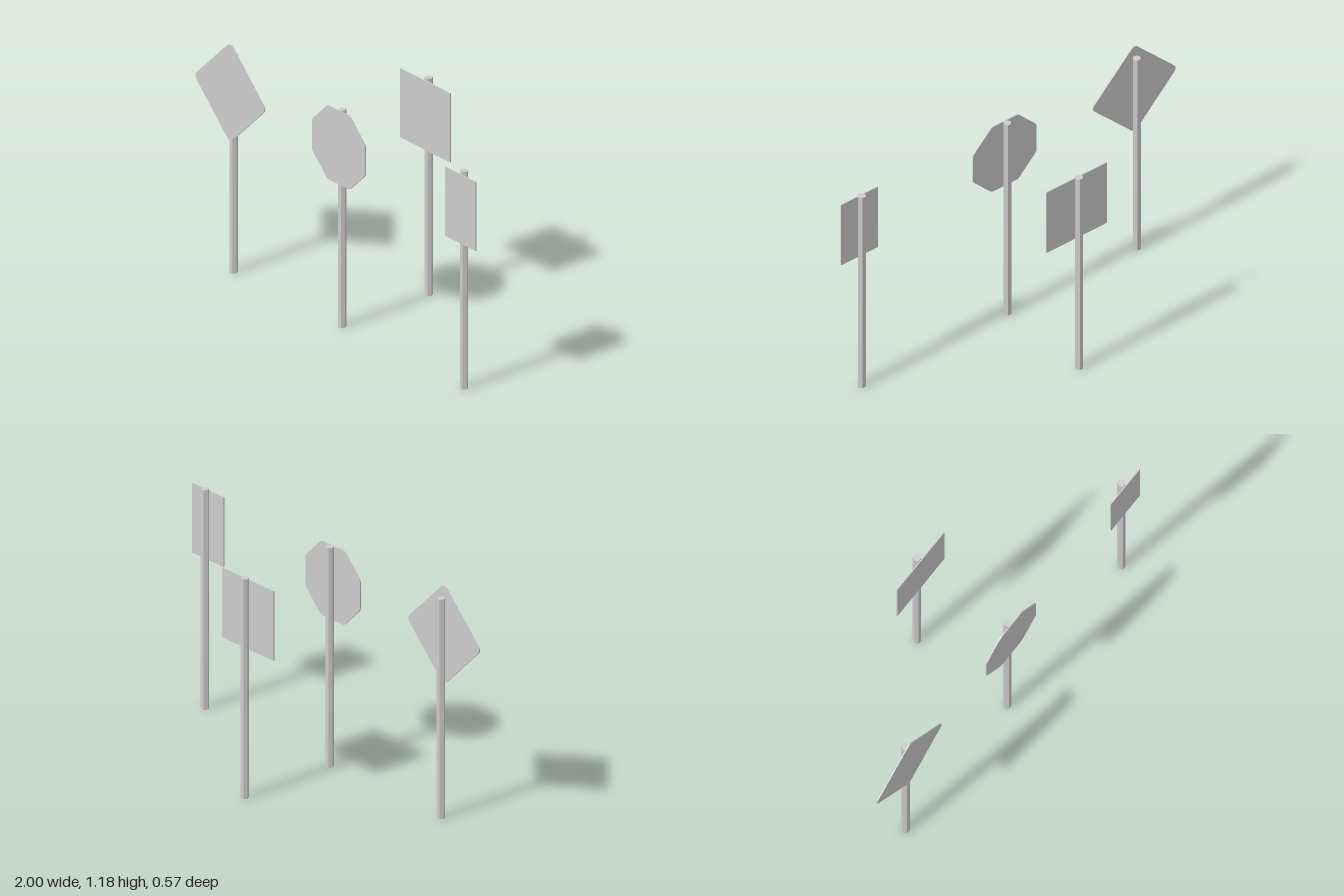
import * as THREE from 'three';

const POLE_R = 0.02, POLE_H = 1.12, PLATE_T = 0.006, SIGN_Y = 0.93;

// Regular polygon outline; phase is the angle of the first corner
function polygon(sides, radius, phase) {
  return Array.from({ length: sides }, (_, i) => {
    const a = phase + (i / sides) * Math.PI * 2;
    return new THREE.Vector2(radius * Math.cos(a), radius * Math.sin(a));
  });
}

// Rectangle outline, counter-clockwise
function rectangle(w, h) {
  return [[-1, -1], [1, -1], [1, 1], [-1, 1]].map(([x, y]) => new THREE.Vector2(x * w / 2, y * h / 2));
}

// Closed shape whose corners are rounded over a length cut along each edge
function roundedShape(points, cut) {
  const shape = new THREE.Shape();
  points.forEach((p, i) => {
    const prev = points[(i + points.length - 1) % points.length];
    const next = points[(i + 1) % points.length];
    const a = p.clone().add(prev.clone().sub(p).setLength(cut));
    const b = p.clone().add(next.clone().sub(p).setLength(cut));
    if (i === 0) shape.moveTo(a.x, a.y);
    else shape.lineTo(a.x, a.y);
    shape.quadraticCurveTo(p.x, p.y, b.x, b.y);
  });
  shape.closePath();
  return shape;
}

export function createModel() {
  const model = new THREE.Group();
  const material = new THREE.MeshStandardMaterial({ color: 0xcccccc, flatShading: true });

  // Six-sided pole shared by all signs, corners pointing along x
  const poleGeometry = new THREE.CylinderGeometry(POLE_R, POLE_R, POLE_H, 6, 1, false, Math.PI / 2);
  poleGeometry.translate(0, POLE_H / 2, 0);

  const signs = [
    { name: 'diamondSign', x: -0.755, z: 0.262, outline: polygon(4, 0.257, 0), cut: 0.03 },
    { name: 'octagonSign', x: 0.02, z: 0.262, outline: polygon(8, 0.19 / Math.cos(Math.PI / 8), Math.PI / 8), cut: 0.013 },
    { name: 'tallSign', x: 0.89, z: 0.262, outline: rectangle(0.22, 0.355), cut: 0.002 },
    { name: 'squareSign', x: 0.02, z: -0.267, outline: rectangle(0.36, 0.355), cut: 0.002 },
  ];

  for (const { name, x, z, outline, cut } of signs) {
    const sign = new THREE.Group();
    sign.name = name;
    sign.position.set(x, 0, z);

    const pole = new THREE.Mesh(poleGeometry, material);
    pole.name = 'pole';

    // Thin plate fixed to the flat front of the pole
    const plate = new THREE.Mesh(
      new THREE.ExtrudeGeometry(roundedShape(outline, cut), { depth: PLATE_T, bevelEnabled: false, curveSegments: 4 }),
      material
    );
    plate.name = 'plate';
    plate.position.set(0, SIGN_Y, POLE_R * Math.cos(Math.PI / 6));

    sign.add(pole, plate);
    model.add(sign);
  }
  return model;
}
